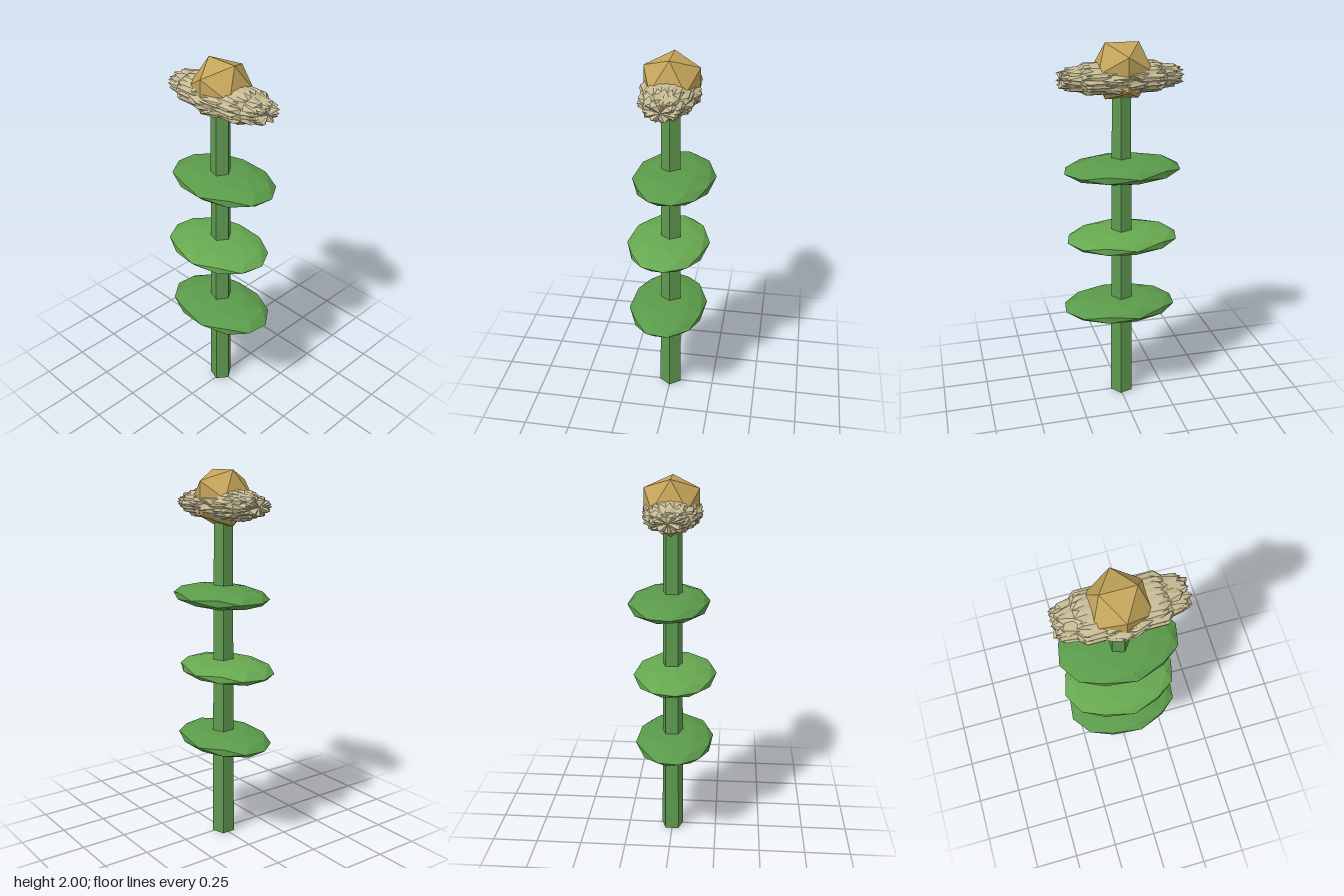
import * as THREE from 'three';

const CX = -0.011; // stem axis

function part(name, geometry, color, x, y, z) {
  const mesh = new THREE.Mesh(geometry, new THREE.MeshStandardMaterial({ color, flatShading: true }));
  mesh.name = name;
  mesh.position.set(x, y, z);
  return mesh;
}

export function createModel() {
  const flower = new THREE.Group();
  flower.name = 'flower';

  // five-sided tapering stem with a corner toward +x
  const stem = new THREE.CylinderGeometry(0.051, 0.063, 1.8, 5);
  stem.rotateY(Math.PI / 2);
  flower.add(part('stem', stem, 0x5f9a50, CX, 0.9, 0));

  // flattened faceted leaf discs: [x, y, z, half width, half depth, turn, color]
  const leaves = [
    [0, 0.55, 0.0125, 0.315, 0.217, 0.2, 0x5a9a4a],
    [-0.0175, 0.95, 0.015, 0.307, 0.225, 0.1, 0x66a850],
    [-0.01, 1.35, -0.0175, 0.315, 0.218, 0.14, 0x5a9a4a],
  ];
  for (const [x, y, z, w, d, turn, color] of leaves) {
    const leaf = new THREE.IcosahedronGeometry(1, 1);
    leaf.rotateY(turn);
    leaf.scale(w, 0.06, d);
    flower.add(part('leaf', leaf, color, x, y, z));
  }

  // spiky petals: overlapping icosahedra spun about x, then flattened
  const petals = new THREE.Group();
  petals.name = 'petals';
  const count = 10;
  for (let i = 0; i < count; i++) {
    const petal = new THREE.IcosahedronGeometry(1, 0);
    petal.rotateY(0.13 * Math.sin(i * 2.4));
    petal.rotateX((i * Math.PI) / count);
    petal.scale(0.355, 0.092, 0.158);
    petals.add(part('petal', petal, 0xc6bb94, 0, 0, 0));
  }
  petals.position.set(CX + 0.008, 1.825, 0);
  flower.add(petals);

  // seed head with its ridge along x
  flower.add(part('seedHead', new THREE.IcosahedronGeometry(0.166, 0), 0xc4a45a, CX, 1.859, -0.004));

  return flower;
}
